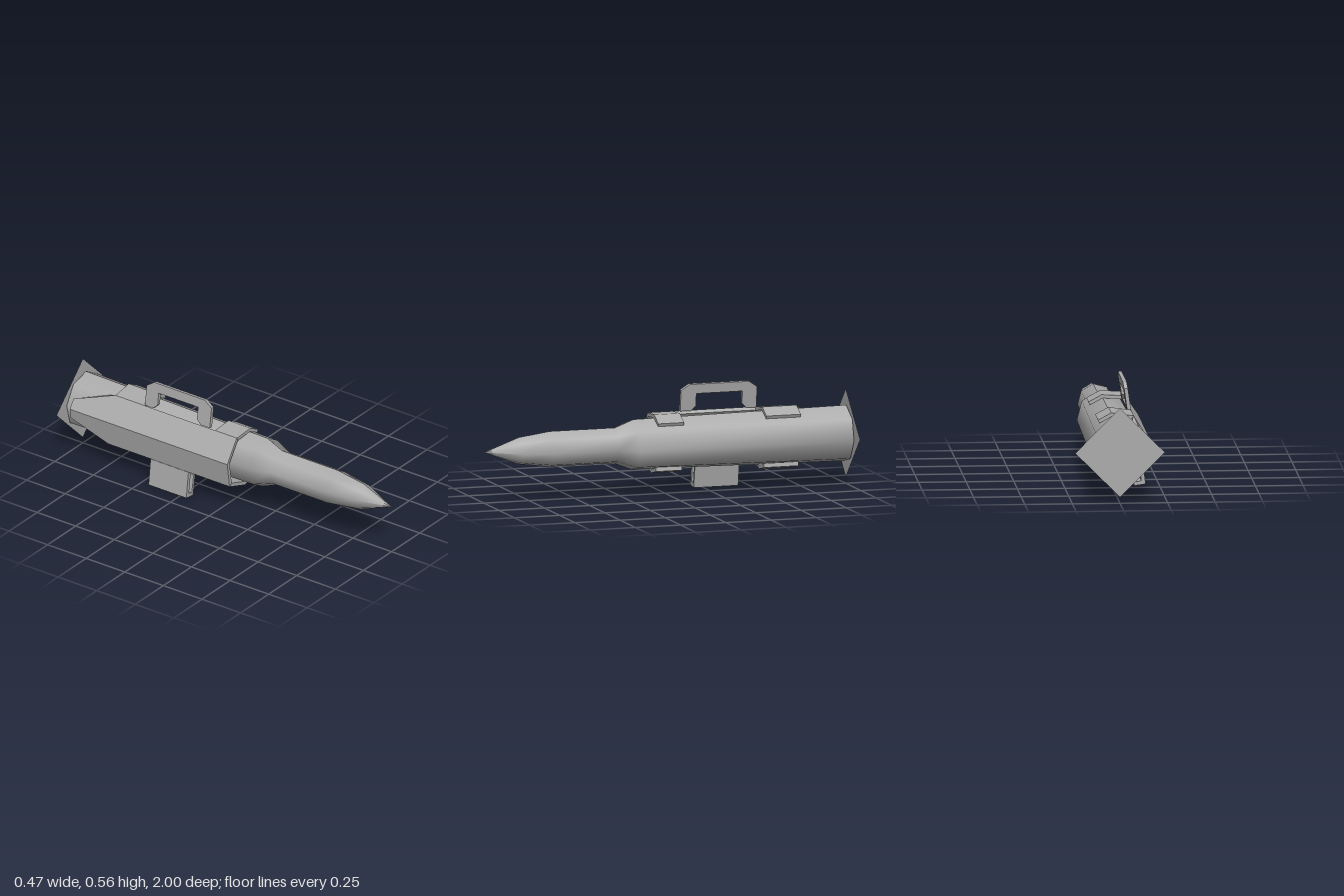
import * as THREE from 'three';

const metal = new THREE.MeshStandardMaterial({ color: 0xaaaaaa, side: THREE.DoubleSide });
metal.name = 'greyMetal';
const AXIS_Y = 0.268;

const toShape = (pts) => new THREE.Shape(pts.map(([x, y]) => new THREE.Vector2(x, y)));

// Extrude an x-y outline between two z positions
function slab(pts, z0, z1) {
  const geo = new THREE.ExtrudeGeometry(toShape(pts), { depth: z1 - z0, bevelEnabled: false });
  return geo.translate(0, 0, z0);
}

export function createModel() {
  const model = new THREE.Group();
  model.name = 'launcher';
  const add = (name, geo) => {
    const mesh = new THREE.Mesh(geo, metal);
    mesh.name = name;
    model.add(mesh);
    return mesh;
  };

  // Eight-sided body in two halves, smooth except along the seams
  const profile = [[0.153, -0.995], [0.137, 0.18], [0.097, 0.28], [0.097, 0.64], [0.073, 0.81], [0, 1]]
    .map(([r, z]) => new THREE.Vector2(r, z));
  ['leftBodyHalf', 'rightBodyHalf'].forEach((name, i) => {
    const geo = new THREE.LatheGeometry(profile, 4, -0.14 + i * Math.PI, Math.PI);
    geo.computeVertexNormals();
    geo.rotateX(Math.PI / 2).translate(0, AXIS_Y, 0);
    add(name, geo);
  });

  // Square flat plate standing on its corner at the back
  add('backPlate', new THREE.PlaneGeometry(0.333, 0.333).rotateZ(Math.PI / 4).rotateY(Math.PI))
    .position.set(0, AXIS_Y, -1);

  // Side shell: its back corners are cut away above and below
  const shell = slab([
    [-0.158, 0.155], [-0.138, 0.163], [-0.15, 0.245], [-0.158, 0.293], [-0.128, 0.337], [-0.083, 0.401],
    [-0.094, 0.417], [-0.145, 0.343], [-0.178, 0.295], [-0.17, 0.24],
  ], -0.955, 0.065);
  const pos = shell.attributes.position;
  for (let i = 0; i < pos.count; i++) {
    if (pos.getZ(i) > 0) continue;
    const y = pos.getY(i);
    pos.setZ(i, -0.955 + 0.235 * Math.min(1, Math.max(0, (y - 0.343) / 0.07, (0.24 - y) / 0.08)));
  }
  shell.computeVertexNormals();
  add('sideShell', shell);

  // Bent straps gripping the body above and below, front and back
  const straps = [['front', -0.075, 0.067, 0], ['back', -0.72, -0.53, 0.01]];
  for (const [name, z0, z1, lift] of straps) {
    add(name + 'UpperStrap', slab([
      [-0.094, 0.417], [0.024, 0.424 + lift], [0.094, 0.386 + lift],
      [0.087, 0.37 + lift], [0.02, 0.406 + lift], [-0.083, 0.399],
    ], z0, z1));
    add(name + 'LowerStrap', slab([
      [-0.158, 0.155], [-0.026, 0.107 - lift], [0.058, 0.127 - lift],
      [0.054, 0.149 - lift], [-0.022, 0.127 - lift], [-0.138, 0.168],
    ], z0, z1));
  }

  // Carrying handle with an open grip, leaning with the shell
  const grip = toShape([
    [-0.53, 0], [-0.475, 0], [-0.45, 0.025], [-0.45, 0.093], [-0.195, 0.093], [-0.195, 0.025], [-0.17, 0],
    [-0.11, 0], [-0.11, 0.113], [-0.155, 0.144], [-0.485, 0.144], [-0.53, 0.113],
  ]);
  const handle = new THREE.ExtrudeGeometry(grip, { depth: 0.02, bevelEnabled: false });
  handle.rotateY(-Math.PI / 2).rotateZ(-0.14);
  add('handle', handle).position.set(-0.074, 0.417, 0);

  // Hook-shaped bracket hanging below the shell
  add('lowerBracket', slab([
    [-0.16, 0.155], [-0.178, 0.009], [-0.118, 0], [-0.099, 0.116], [-0.113, 0.119],
    [-0.13, 0.02], [-0.155, 0.027], [-0.138, 0.15],
  ], -0.445, -0.2));

  return model;
}
